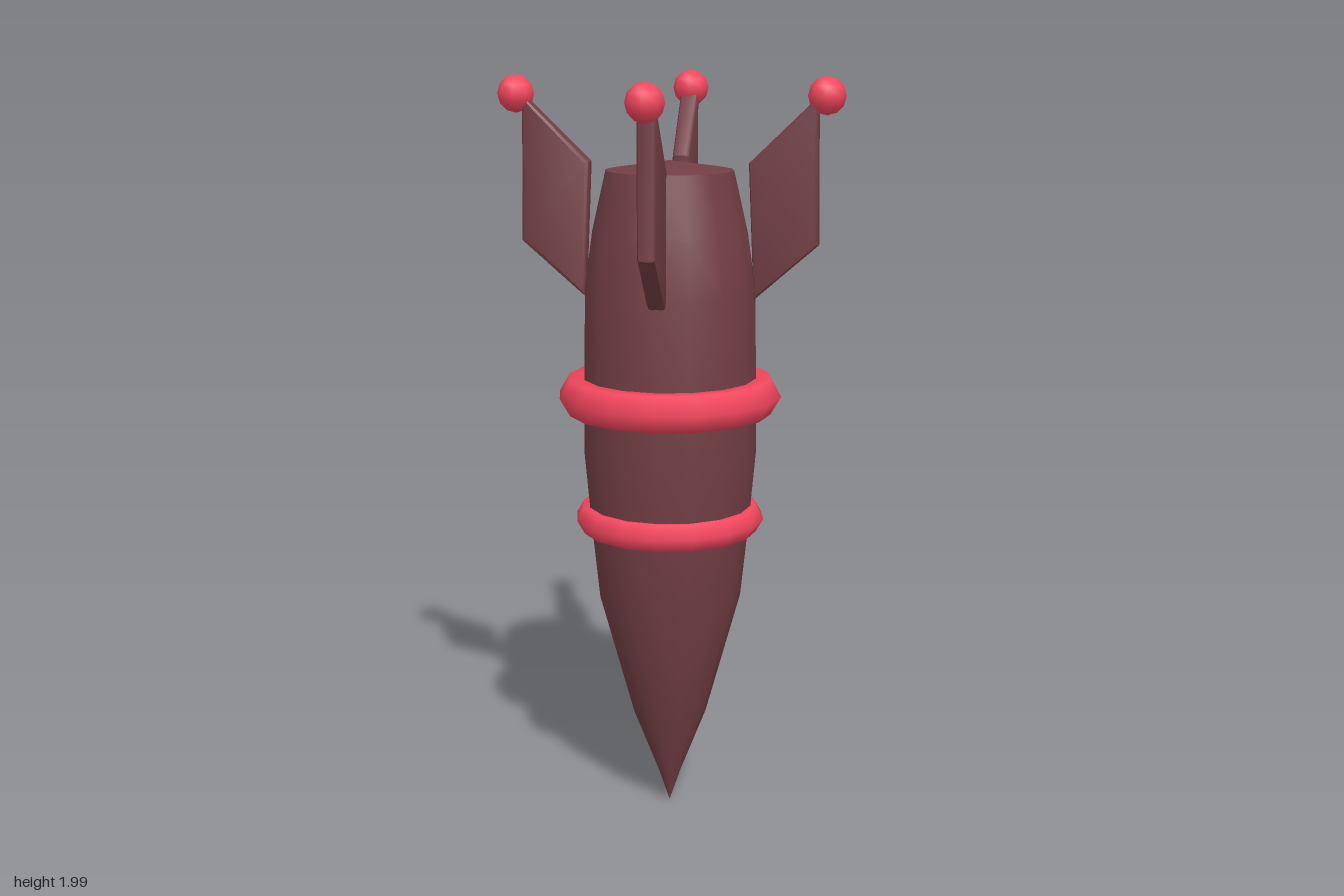
import * as THREE from 'three';
import { toCreasedNormals } from 'three/addons/utils/BufferGeometryUtils.js';

const dark = new THREE.MeshStandardMaterial({ color: 0x733f45 });
const red = new THREE.MeshStandardMaterial({ color: 0xf5475e });

function add(parent, name, geometry, material) {
  const mesh = new THREE.Mesh(geometry, material);
  mesh.name = name;
  parent.add(mesh);
  return mesh;
}

export function createModel() {
  const model = new THREE.Group();
  model.name = 'rocketDart';

  // Body: pointed at the bottom, tapered to a shallow cap at the top
  const profile = [
    [0, 0.01], [0.03, 0.1], [0.1, 0.28], [0.193, 0.62], [0.213, 0.81], [0.232, 1.02],
    [0.23, 1.2], [0.226, 1.45], [0.205, 1.6], [0.168, 1.76], [0, 1.785],
  ].map(([r, y]) => new THREE.Vector2(r, y));
  add(model, 'body', toCreasedNormals(new THREE.LatheGeometry(profile, 16), 0.7), dark);

  // Rings: radius, tube radius, height
  for (const [name, r, tube, y] of [['upperRing', 0.242, 0.055, 1.17], ['lowerRing', 0.213, 0.041, 0.835]]) {
    const ring = add(model, name, new THREE.TorusGeometry(r, tube, 6, 16).rotateX(Math.PI / 2), red);
    ring.position.y = y;
  }

  // Fin plate with softened edges; the bevel grows the outline by its size
  const bevel = 0.012;
  const outline = new THREE.Shape([
    [0.219, 1.775], [0.229, 1.443], [0.377, 1.578], [0.377, 1.935],
  ].map(([u, y]) => new THREE.Vector2(u, y)));
  const finGeometry = toCreasedNormals(new THREE.ExtrudeGeometry(outline, {
    depth: 0.024, bevelEnabled: true, bevelThickness: bevel, bevelSize: bevel, bevelSegments: 2,
  }).translate(0, 0, -0.012), 0.6);
  const ballGeometry = new THREE.SphereGeometry(0.049, 8, 6).rotateY(Math.PI / 4);

  // Four diagonal fins, each tipped with a ball
  for (let i = 0; i < 4; i++) {
    const fin = new THREE.Group();
    fin.name = 'fin' + (i + 1);
    add(fin, 'finPlate', finGeometry, dark);
    add(fin, 'finBall', ballGeometry, red).position.set(0.403, 1.951, 0);
    fin.rotation.y = Math.PI / 4 + i * Math.PI / 2;
    model.add(fin);
  }
  return model;
}
